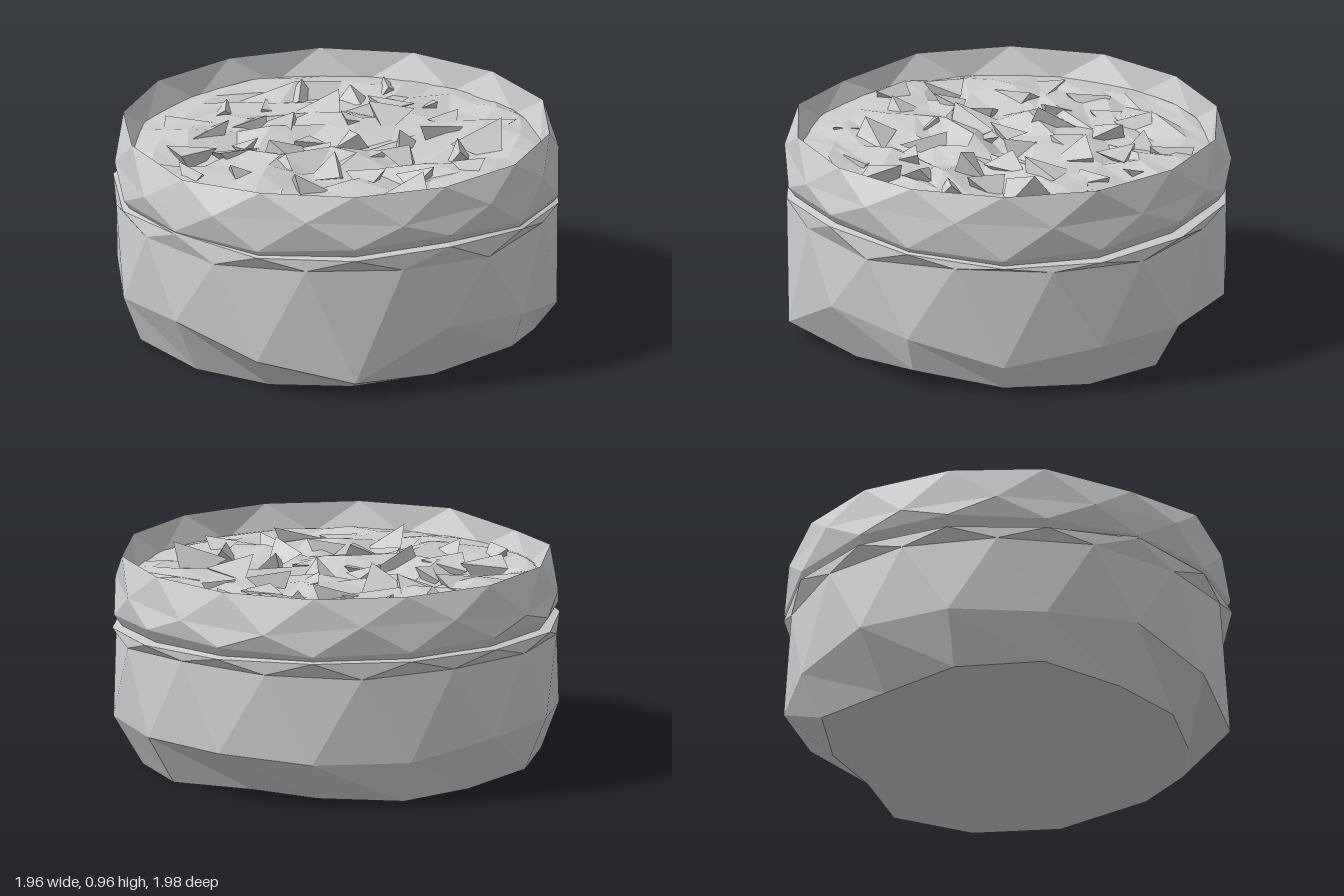
import * as THREE from 'three';
import { mergeGeometries } from 'three/addons/utils/BufferGeometryUtils.js';

// Small seeded random, returning -1..1
function makeRandom(seed) {
  return () => {
    seed = (seed * 16807) % 2147483647;
    return (seed / 2147483647) * 2 - 1;
  };
}

// Skin a stack of rings; point(ring, j) gives the radius and height.
// Each ring may be twisted by half a segment to stagger the facets.
function loft(rings, segments, point) {
  const verts = [];
  const index = [];
  rings.forEach((ring, i) => {
    for (let j = 0; j < segments; j++) {
      const t = ((j + ring.twist) / segments) * Math.PI * 2;
      const [r, y] = point(ring, j);
      verts.push(Math.sin(t) * r, y, Math.cos(t) * r);
    }
    if (i === 0) return;
    const staggerUp = ring.twist >= rings[i - 1].twist;
    for (let j = 0; j < segments; j++) {
      const k = (j + 1) % segments;
      const a = (i - 1) * segments + j, b = (i - 1) * segments + k;
      const c = i * segments + j, d = i * segments + k;
      if (staggerUp) index.push(a, b, c, b, d, c);
      else index.push(a, b, d, a, d, c);
    }
  });
  const geometry = new THREE.BufferGeometry();
  geometry.setAttribute('position', new THREE.Float32BufferAttribute(verts, 3));
  geometry.setIndex(index);
  const flat = geometry.toNonIndexed();
  flat.computeVertexNormals();
  return flat;
}

export function createModel() {
  const group = new THREE.Group();
  const material = new THREE.MeshStandardMaterial({
    color: 0xcccccc, flatShading: true, side: THREE.DoubleSide,
  });
  const add = (name, geometry) => {
    const mesh = new THREE.Mesh(geometry, material);
    mesh.name = name;
    group.add(mesh);
  };

  // Around the bowl from the front towards +x: radius and height of the base
  // edge, height of the bevel, height of the crack, and how far it opens
  const baseR = [0.83, 0.8, 0.84, 0.93, 0.88, 0.86, 0.85, 0.7, 0.77, 0.89, 0.82, 0.88, 0.91, 0.85];
  const baseY = [0, 0, 0.03, 0.085, 0.02, 0, 0, 0, 0, 0.005, 0, 0.02, 0.025, 0];
  const bevel = [0.16, 0.08, 0.3, 0.25, 0.15, 0.22, 0.22, 0.22, 0.2, 0.2, 0.26, 0.26, 0.23, 0.26];
  const crack = [0.65, 0.66, 0.68, 0.65, 0.62, 0.62, 0.64, 0.65, 0.66, 0.66, 0.66, 0.65, 0.64, 0.67];
  const open = [0.012, 0.03, 0.03, 0.012, 0.015, 0.035, 0.045, 0.03, 0.012, 0.02, 0.03, 0.04, 0.025, 0];

  // Faceted bowl: flat base, steep wall, uneven crack, thin rim, inner wall
  const rand = makeRandom(71);
  const wall = [
    { r: 0, y: 0, twist: 0 },
    { r: 0, y: 0, twist: 0, base: 1 },
    { r: 0.985, y: 0, twist: 0, dr: 0.006, bevel: 1 },
    { r: 0.972, y: 0.595, twist: 0.5, dr: 0.006, dy: 0.02 },
    { r: 0.982, y: 0, twist: 0, lip: 0.4, crack: 1 },
    { r: 0.98, y: 0.008, twist: 0, lip: -0.8, crack: 1 },
    { r: 0.984, y: 0.015, twist: 0, lip: 0.1, rise: 1.2, crack: 1 },
    { r: 0.982, y: 0.8, twist: 0.5, dr: 0.008, dy: 0.04 },
    { r: 0.945, y: 0.944, twist: 0, dr: 0.008, rim: 1 },
    { r: 0.9, y: 0.81, twist: 0.5, dr: 0.008 },
  ];
  add('bowl', loft(wall, 14, (p, j) => [
    p.r + (p.base || 0) * baseR[j] + (p.lip || 0) * open[j] + (p.dr || 0) * rand(),
    p.y + (p.base || 0) * baseY[j] + (p.bevel || 0) * bevel[j]
      + (p.crack || 0) * crack[j] + (p.rise || 0) * open[j]
      + (p.dy || 0) * rand() - (p.rim && j === 13 ? 0.03 : 0),
  ]));

  // Crumbly filling: a jittered grid bent into a disc
  const rough = makeRandom(1907);
  const filling = new THREE.PlaneGeometry(2, 2, 12, 12).rotateX(-Math.PI / 2);
  const grid = filling.attributes.position;
  for (let i = 0; i < grid.count; i++) {
    const u = grid.getX(i), v = grid.getZ(i);
    const edge = Math.max(Math.abs(u), Math.abs(v));
    const jag = edge > 0.99 ? 0 : edge > 0.75 ? 0.015 : 0.042;
    grid.setXYZ(i,
      0.91 * u * Math.sqrt(1 - v * v / 2) + jag * 1.2 * rough(),
      (edge > 0.99 ? 0.825 : 0.845) + jag * rough(),
      0.915 * v * Math.sqrt(1 - u * u / 2) + jag * 1.2 * rough());
  }
  const flatFilling = filling.toNonIndexed();
  flatFilling.computeVertexNormals();
  add('filling', flatFilling);

  // Broken flakes sticking out of the filling
  const flake = makeRandom(523);
  const flakes = [];
  const count = 40;
  for (let i = 0; i < count; i++) {
    const angle = i * 2.4;
    const radius = 0.74 * Math.sqrt((i + 0.5) / count);
    const g = new THREE.TetrahedronGeometry(0.12 + 0.03 * flake());
    g.scale(1 + 0.3 * flake(), 0.8 + 0.25 * flake(), 1 + 0.3 * flake());
    g.rotateX(flake() * 3).rotateY(flake() * 3).rotateZ(flake() * 3);
    g.scale(1.05, 0.75, 1.05);
    g.translate(
      Math.sin(angle) * radius + 0.05 * flake(),
      0.835 + 0.02 * flake(),
      Math.cos(angle) * radius + 0.05 * flake());
    // Keep the tips close to the level of the rim
    const pos = g.attributes.position;
    for (let v = 0; v < pos.count; v++) {
      const over = pos.getY(v) - 0.9;
      if (over > 0) pos.setY(v, 0.9 + Math.min(0.07, over));
    }
    g.computeVertexNormals();
    flakes.push(g);
  }
  add('flakes', mergeGeometries(flakes));

  return group;
}
